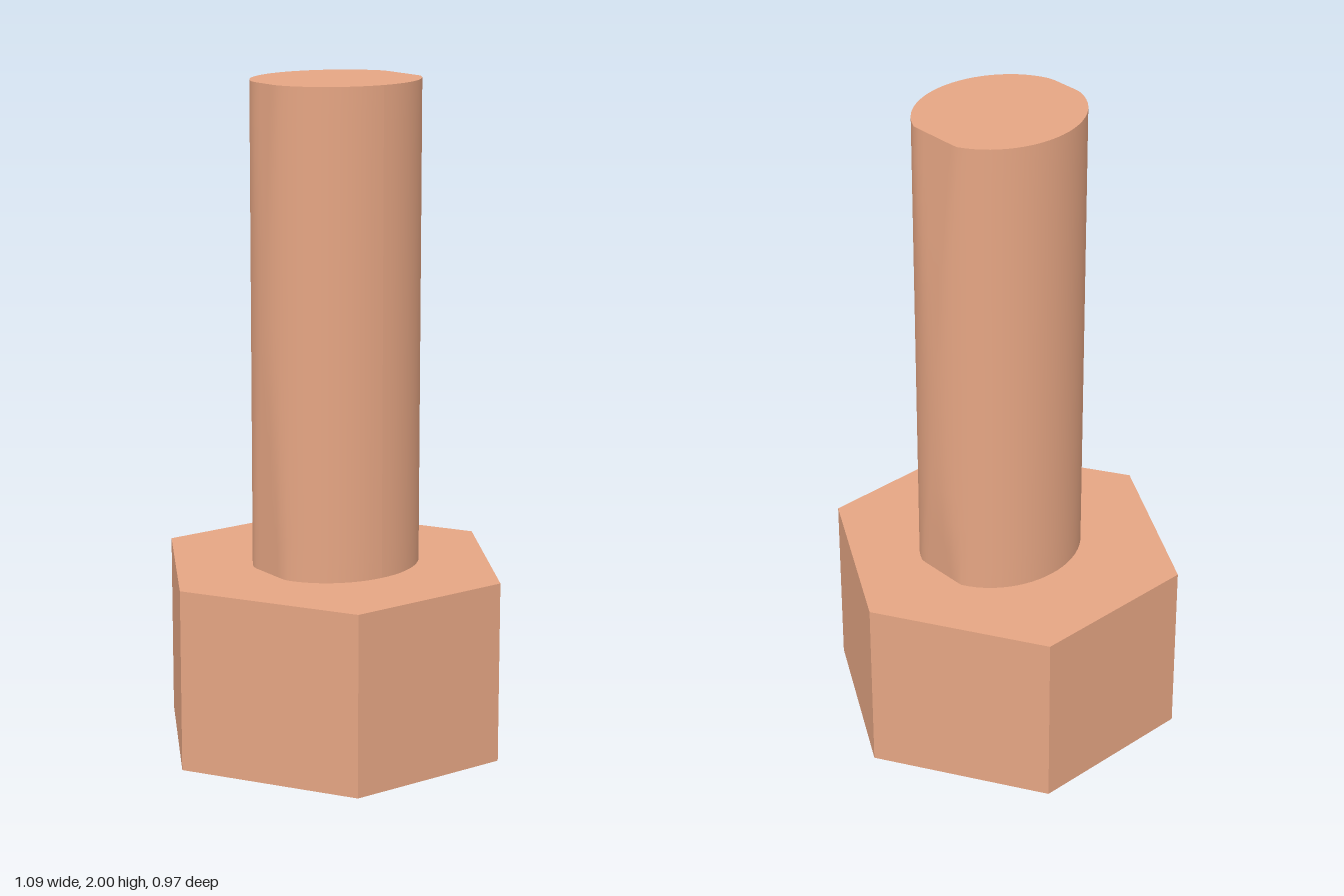
import * as THREE from 'three';

const HEAD_HEIGHT = 0.55;
const TOP = 2;

// Linear interpolation through [y, value] pairs
function along(y, pairs) {
  for (let i = 1; i < pairs.length; i++) {
    const [y0, a] = pairs[i - 1], [y1, b] = pairs[i];
    if (y <= y1) return THREE.MathUtils.lerp(a, b, Math.max(0, (y - y0) / (y1 - y0)));
  }
  return pairs[pairs.length - 1][1];
}

// Hexagonal head, corners pointing along x
function makeHead(material) {
  const outline = [
    [0.54, 0], [0.267, 0.485], [-0.264, 0.485],
    [-0.545, 0], [-0.26, -0.485], [0.257, -0.485],
  ].map(([x, y]) => new THREE.Vector2(x, y));
  const geometry = new THREE.ExtrudeGeometry(new THREE.Shape(outline), {
    depth: HEAD_HEIGHT, bevelEnabled: false,
  });
  geometry.rotateX(-Math.PI / 2);
  const head = new THREE.Mesh(geometry, material);
  head.name = 'hexHead';
  return head;
}

// Round shank, trimmed on its two sides so that it narrows toward the ends
function makeShank(material) {
  const rightEdge = [[0.55, 0.25], [0.8, 0.266], [1.2, 0.269], [1.6, 0.264], [2, 0.25]];
  const leftEdge = [[0.55, -0.235], [0.8, -0.241], [1.2, -0.25], [1.6, -0.249], [2, -0.243]];
  const length = TOP - HEAD_HEIGHT;
  const geometry = new THREE.CylinderGeometry(1, 1, length, 64, 14);
  geometry.translate(0, HEAD_HEIGHT + length / 2, 0);
  const p = geometry.attributes.position;
  for (let i = 0; i < p.count; i++) {
    const y = p.getY(i);
    const x = 0.009 + p.getX(i) * 0.26;
    const z = 0.007 + p.getZ(i) * 0.23;
    p.setX(i, THREE.MathUtils.clamp(x, along(y, leftEdge), along(y, rightEdge)));
    p.setZ(i, z);
  }
  geometry.computeVertexNormals();
  const shank = new THREE.Mesh(geometry, material);
  shank.name = 'shank';
  return shank;
}

export function createModel() {
  const material = new THREE.MeshStandardMaterial({ color: 0xe5a583 });
  const bolt = new THREE.Group();
  bolt.name = 'bolt';
  bolt.add(makeHead(material), makeShank(material));
  return bolt;
}
